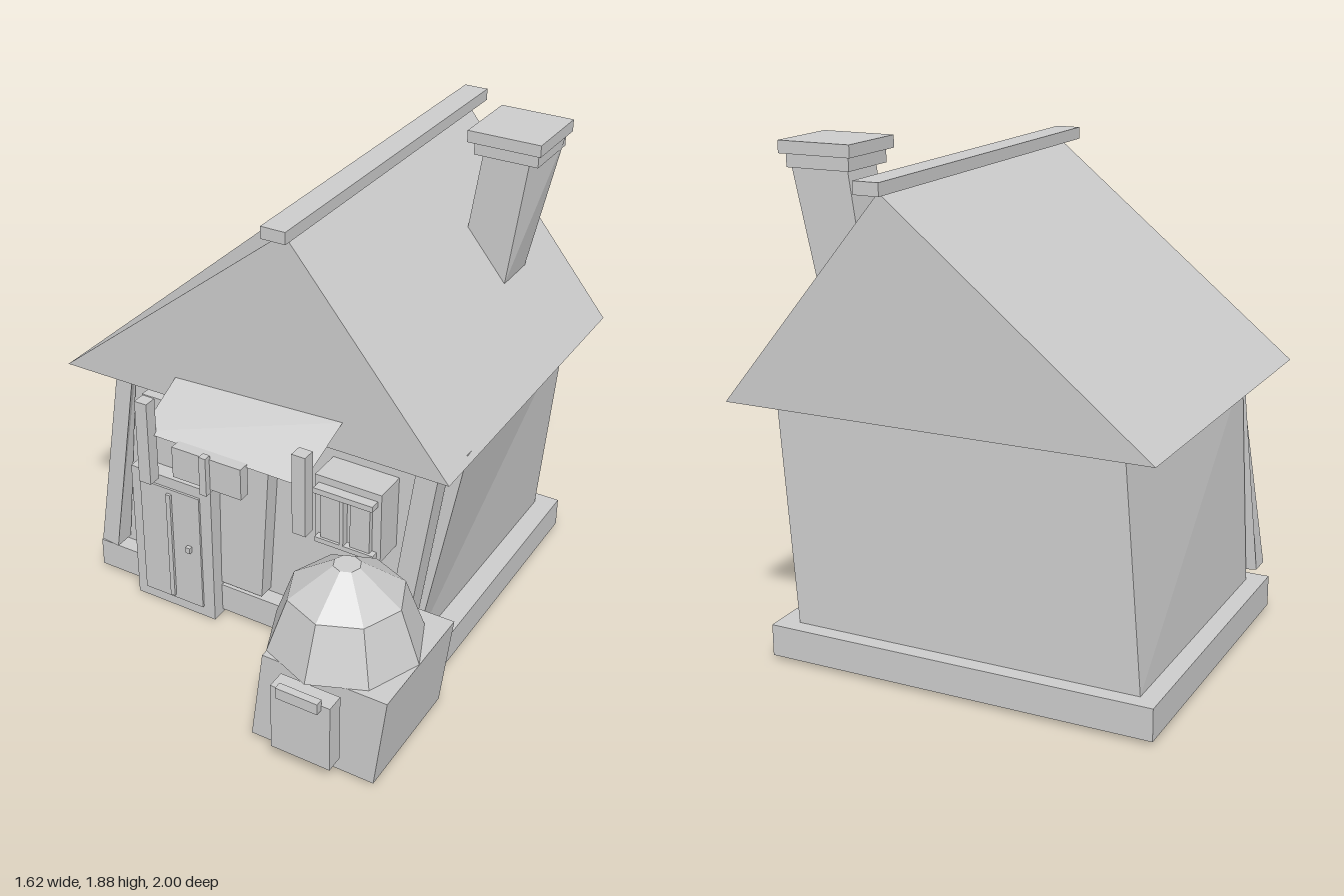
import * as THREE from 'three';

const clay = new THREE.MeshStandardMaterial({ color: 0xcccccc, flatShading: true });
clay.name = 'plain grey';
const thinClay = new THREE.MeshStandardMaterial({ color: 0xcccccc, flatShading: true, side: THREE.DoubleSide });
thinClay.name = 'plain grey sheet';

function add(parent, name, geometry, material = clay) {
  const mesh = new THREE.Mesh(geometry, material);
  mesh.name = name;
  parent.add(mesh);
  return mesh;
}

// Straight box given by its limits
function block(parent, name, [x0, x1], [y0, y1], [z0, z1]) {
  const g = new THREE.BoxGeometry(x1 - x0, y1 - y0, z1 - z0);
  g.translate((x0 + x1) / 2, (y0 + y1) / 2, (z0 + z1) / 2);
  return add(parent, name, g);
}

// Crooked box; bottom and top each list front-left-x, front-right-x, back-right-x, back-left-x corners
// in the order (-x,+z), (+x,+z), (+x,-z), (-x,-z)
function crooked(parent, name, bottom, top) {
  const g = new THREE.BoxGeometry(1, 1, 1).toNonIndexed();
  const p = g.attributes.position;
  for (let i = 0; i < p.count; i++) {
    const ring = p.getY(i) > 0 ? top : bottom;
    const right = p.getX(i) > 0;
    const corner = p.getZ(i) > 0 ? (right ? 1 : 0) : (right ? 2 : 3);
    p.setXYZ(i, ...ring[corner]);
  }
  g.computeVertexNormals();
  return add(parent, name, g);
}

// Sheet surface from triangles
function sheet(parent, name, points, index) {
  let g = new THREE.BufferGeometry();
  g.setAttribute('position', new THREE.Float32BufferAttribute(points.flat(), 3));
  g.setIndex(index);
  g = g.toNonIndexed();
  g.computeVertexNormals();
  return add(parent, name, g, thinClay);
}

function group(parent, name) {
  const g = new THREE.Group();
  g.name = name;
  parent.add(g);
  return g;
}

export function createModel() {
  const model = new THREE.Group();
  model.name = 'crookedCottage';

  // Foundation and leaning walls
  block(model, 'foundation', [-0.79, 0.70], [0.02, 0.14], [-0.845, 0.36]);
  crooked(model, 'walls',
    [[-0.72, 0.14, 0.295], [0.615, 0.14, 0.295], [0.62, 0.14, -0.785], [-0.72, 0.14, -0.785]],
    [[-0.685, 0.98, 0.27], [0.77, 1.022, 0.27], [0.697, 1.0, -0.757], [-0.64, 1.0, -0.757]]);

  // Hollow gable roof, open underneath
  const zf = 0.44, zb = -0.93;
  sheet(model, 'roof', [
    [-0.815, 1, zf], [0.785, 1, zf], [0.145, 1.775, zf],
    [-0.815, 1, zb], [0.785, 1, zb], [0.145, 1.775, zb],
  ], [0, 1, 2, 4, 3, 5, 1, 4, 5, 1, 5, 2, 3, 0, 2, 3, 2, 5]);
  block(model, 'ridgeCap', [0.1, 0.195], [1.775, 1.82], [-1.0, 0.51]);

  // Chimney with twisted shaft and stepped cap
  const chimney = group(model, 'chimney');
  crooked(chimney, 'chimneyShaft',
    [[0.355, 1.29, -0.475], [0.545, 1.29, -0.475], [0.545, 1.29, -0.66], [0.355, 1.29, -0.66]],
    [[0.43, 1.8, -0.475], [0.612, 1.8, -0.475], [0.665, 1.838, -0.66], [0.43, 1.8, -0.66]]);
  block(chimney, 'chimneyCollar', [0.405, 0.655], [1.79, 1.84], [-0.69, -0.445]);
  block(chimney, 'chimneyCap', [0.385, 0.67], [1.84, 1.885], [-0.715, -0.425]);

  // Leaning corner beams
  crooked(model, 'rightBeam',
    [[-0.755, 0.18, 0.395], [-0.68, 0.17, 0.395], [-0.68, 0.17, 0.31], [-0.755, 0.18, 0.31]],
    [[-0.645, 0.965, 0.37], [-0.575, 0.957, 0.37], [-0.615, 0.98, 0.285], [-0.685, 0.985, 0.285]]);
  crooked(model, 'leftBeam',
    [[0.53, 0.17, 0.395], [0.61, 0.18, 0.395], [0.61, 0.18, 0.31], [0.53, 0.17, 0.31]],
    [[0.632, 1.01, 0.37], [0.718, 1.01, 0.37], [0.718, 1.01, 0.285], [0.632, 1.01, 0.285]]);

  // Sloped panel on the front wall
  crooked(model, 'frontPanel',
    [[-0.595, 0.155, 0.36], [-0.02, 0.155, 0.36], [-0.02, 0.155, 0.25], [-0.595, 0.155, 0.25]],
    [[-0.55, 0.9, 0.345], [0.02, 0.9, 0.345], [0.02, 0.9, 0.25], [-0.55, 0.9, 0.25]]);

  // Door
  const door = group(model, 'door');
  block(door, 'doorFrame', [-0.57, -0.205], [0.003, 0.61], [0.345, 0.415]);
  block(door, 'doorLeaf', [-0.525, -0.255], [0.05, 0.565], [0.40, 0.424]);
  block(door, 'doorStrip', [-0.4, -0.38], [0.065, 0.545], [0.42, 0.435]);
  block(door, 'doorKnob', [-0.315, -0.295], [0.305, 0.33], [0.42, 0.44]);

  // Window with two shutters
  const win = group(model, 'window');
  block(win, 'windowFrame', [0.245, 0.515], [0.555, 0.845], [0.26, 0.405]);
  for (const x of [0.28, 0.4]) block(win, 'shutter', [x, x + 0.08], [0.595, 0.8], [0.4, 0.425]);
  block(win, 'mullion', [0.362, 0.378], [0.595, 0.8], [0.4, 0.435]);
  block(win, 'lintelBar', [0.26, 0.5], [0.792, 0.815], [0.4, 0.445]);
  block(win, 'sillBar', [0.26, 0.5], [0.575, 0.595], [0.4, 0.435]);

  // Awning, hanging posts and sign board
  const porch = group(model, 'porch');
  sheet(porch, 'awning',
    [[-0.32, 0.98, 0.66], [0.34, 0.975, 0.66], [0.375, 1.12, 0.44], [-0.32, 1.09, 0.44]],
    [0, 1, 2, 0, 2, 3]);
  block(porch, 'rightPost', [-0.315, -0.265], [0.79, 1.125], [0.645, 0.695]);
  block(porch, 'leftPost', [0.325, 0.378], [0.8, 1.12], [0.645, 0.695]);
  block(porch, 'signBoard', [-0.165, 0.12], [0.86, 0.985], [0.65, 0.695]);
  block(porch, 'signStrip', [-0.035, -0.007], [0.845, 1.0], [0.69, 0.72]);

  // Oven: leaning base, faceted dome, small door
  const oven = group(model, 'oven');
  const ring = (x0, x1, y) => [[x0, y, 0.89], [x1, y, 0.89], [x1, y, 0.39], [x0, y, 0.39]];
  crooked(oven, 'ovenBase', ring(0.27, 0.765, 0.02), ring(0.32, 0.81, 0.4));
  const profile = [[0, 0.4], [0.287, 0.4], [0.212, 0.605], [0.05, 0.72], [0, 0.72]];
  const dome = add(oven, 'ovenDome',
    new THREE.LatheGeometry(profile.map(([r, y]) => new THREE.Vector2(r, y)), 8));
  dome.position.set(0.522, 0, 0.658);
  block(oven, 'ovenDoor', [0.405, 0.64], [0.09, 0.367], [0.905, 0.975]);
  block(oven, 'ovenDoorHandle', [0.44, 0.605], [0.345, 0.39], [0.97, 1.0]);

  return model;
}
